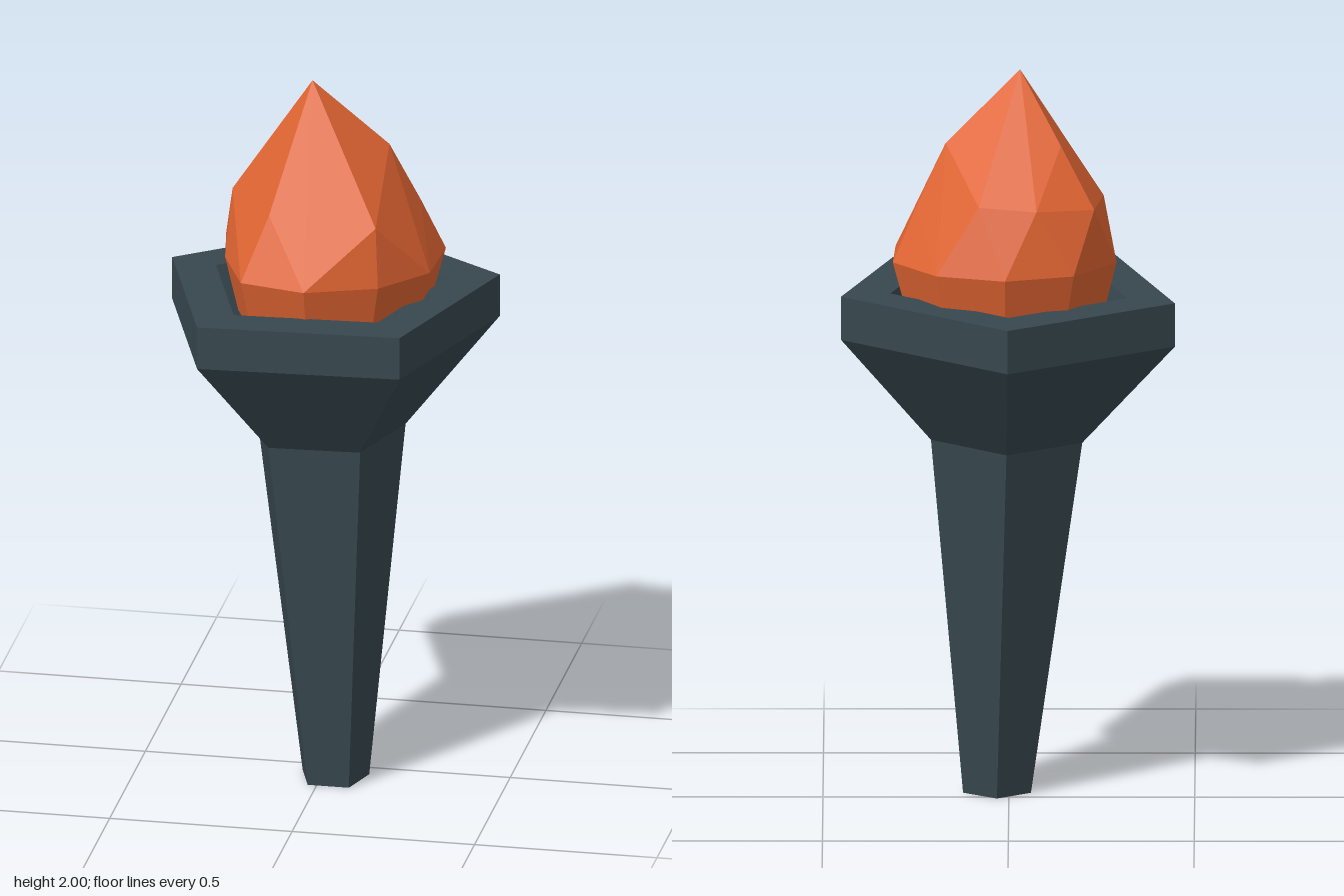
import * as THREE from 'three';
import { ConvexGeometry } from 'three/addons/geometries/ConvexGeometry.js';

const slate = new THREE.MeshStandardMaterial({ color: 0x37474f, flatShading: true });
slate.name = 'slate';
const orange = new THREE.MeshStandardMaterial({ color: 0xe06432, flatShading: true });
orange.name = 'flame orange';

// Joins five-sided rings [y, radius, centreX, centreZ, tilt], point towards the back
function pentagonLoft(rings) {
  const corner = ([y, r, cx, cz, tilt = 0], i) => {
    const a = (i * Math.PI * 2) / 5;
    const x = cx + r * Math.sin(a);
    const z = cz - r * Math.cos(a);
    return [x, y + tilt * (x + z), z];
  };
  const positions = [];
  for (let k = 0; k < rings.length - 1; k++) {
    const [low, high] = [rings[k], rings[k + 1]];
    for (let i = 0; i < 5; i++) {
      const a = corner(low, i), b = corner(low, i + 1);
      const c = corner(high, i), d = corner(high, i + 1);
      if (high[1] > 0) positions.push(...a, ...c, ...d);
      if (low[1] > 0) positions.push(...a, ...d, ...b);
    }
  }
  const geometry = new THREE.BufferGeometry();
  geometry.setAttribute('position', new THREE.Float32BufferAttribute(positions, 3));
  geometry.computeVertexNormals();
  return geometry;
}

function addPart(group, name, geometry, material) {
  const mesh = new THREE.Mesh(geometry, material);
  mesh.name = name;
  group.add(mesh);
}

export function createModel() {
  const torch = new THREE.Group();
  torch.name = 'torch';

  // Tapered handle, leaning slightly
  const neck = [0.99, 0.214, 0.006, 0.047, 0.02];
  addPart(torch, 'handle', pentagonLoft([
    [0, 0, 0.032, 0.079],
    [0, 0.096, 0.032, 0.079],
    neck,
  ]), slate);

  // Flared bowl with an upright rim and a hollow inside
  addPart(torch, 'bowl', pentagonLoft([
    neck,
    [1.284, 0.472, 0.002, 0.041, 0.02],
    [1.404, 0.472, 0.002, 0.041, 0.02],
    [1.404, 0.335, 0, 0.042, 0.02],
    [1.26, 0.29, 0, 0.042, 0.02],
    [1.26, 0, 0, 0.042, 0.02],
  ]), slate);

  // Faceted flame: a ten-sided belt, a narrower foot and an off-centre tip
  const belt = [
    [0.01, -0.28], [0.195, -0.22], [0.312, -0.06], [0.305, 0.13], [0.19, 0.27],
    [0, 0.34], [-0.18, 0.3], [-0.258, 0.12], [-0.29, -0.06], [-0.175, -0.22],
  ];
  const points = [
    [-0.03, 2, 0.06],
    [0.17, 1.81, 0.005], [-0.14, 1.82, -0.07], [0.04, 1.79, -0.1],
    [0.18, 1.66, 0.25], [-0.115, 1.67, 0.235], [-0.255, 1.66, 0.03],
    [-0.23, 1.66, -0.14], [-0.075, 1.67, -0.21], [0.08, 1.68, -0.2],
    [0.25, 1.64, -0.03],
  ];
  for (const [x, z] of belt) {
    points.push([x, 1.495, z]);
    points.push([x * 0.87, 1.34, 0.03 + (z - 0.03) * 0.87]);
  }
  addPart(torch, 'flame',
    new ConvexGeometry(points.map((p) => new THREE.Vector3(...p))), orange);

  return torch;
}
